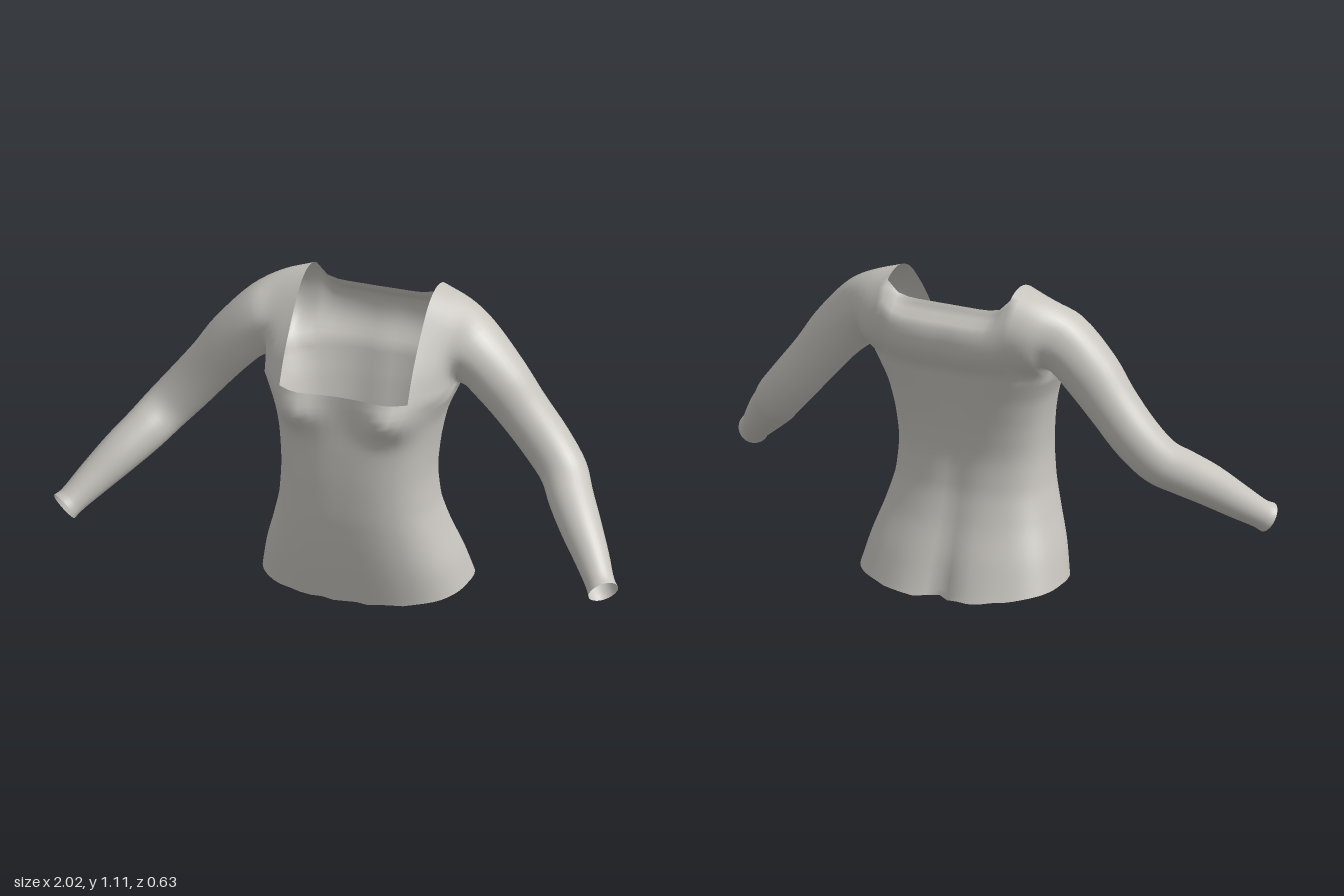
import * as THREE from 'three';
import { mergeGeometries, mergeVertices } from 'three/addons/utils/BufferGeometryUtils.js';

const V = (x, y, z) => new THREE.Vector3(x, y, z);
const INNER = 12, SUB = 4, OUTER = SUB * 2, LOOP = 32;
const NECK_X = 0.23, TOP_Y = 0.8, TOP_W = 0.34, HEM_Y = 0.03;

// Torso outline from hem to armpit: half width, front z, back z at even heights
const outline = new THREE.CatmullRomCurve3([
  V(0.36, 0.16, -0.315), V(0.335, 0.18, -0.27), V(0.3, 0.195, -0.22), V(0.272, 0.203, -0.185),
  V(0.264, 0.203, -0.174), V(0.272, 0.198, -0.186), V(0.293, 0.19, -0.208), V(TOP_W, 0.19, -0.235),
]);
const bell = (d, s) => Math.exp(-((d / s) ** 2));

// Point on the torso: u = -1..1 across, v = 0..1 upward
function torsoPoint(u, v, isFront) {
  const { x: w, y: zf, z: zb } = outline.getPoint(v);
  const y = HEM_Y + v * (TOP_Y - HEM_Y), x = u * w, a = Math.abs(u);
  const mid = (zf + zb) / 2 - 0.03, p = isFront ? 2.8 : 2.4;
  const round = Math.max(0, 1 - a ** p) ** (1 / p);
  let z = mid + ((isFront ? zf : zb) - mid) * round;
  if (isFront) z += 0.065 * bell(Math.abs(x) - 0.17, 0.08) * bell(y - 0.73, 0.07) * Math.min(1, round * 1.5);
  else z += 0.028 * bell(x, 0.035) * (1 - v) ** 5 + 0.008 * bell(x, 0.05) - 0.014 * bell(a - 0.38, 0.22) * (1 - v) ** 5;
  // Uneven hem, lower in the middle of the front and back
  const hem = 0.006 - (isFront ? 0.018 : 0.03) * (1 - u * u) + 0.004 * Math.sin(x * 55) * (1 - a);
  return V(x, y + hem * (1 - v) ** 4, z);
}

// Surface through rows of points
function grid(rows) {
  const n = rows[0].length, index = [];
  for (let j = 0; j < rows.length - 1; j++) {
    for (let i = 0; i < n - 1; i++) {
      const a = j * n + i, b = a + 1, c = b + n, d = a + n;
      index.push(a, b, c, a, c, d);
    }
  }
  const g = new THREE.BufferGeometry().setFromPoints(rows.flat());
  g.setIndex(index);
  return g;
}
const mirror = rows => rows.map(r => r.map(p => V(-p.x, p.y, p.z)).reverse());

// Sections from neck edge to cuff, each running front, over the top, to the back
function sleeveRows() {
  const arch = (u, pts) => new THREE.CatmullRomCurve3([
    torsoPoint(u, 1, true), ...pts.map(p => V(...p)), torsoPoint(u, 1, false)]);
  const arches = [
    arch(NECK_X / TOP_W, [[0.23, 0.895, 0.12], [0.23, 1.01, 0.03], [0.23, 1.085, -0.05], [0.23, 1.11, -0.13],
      [0.23, 1.085, -0.21], [0.23, 1.0, -0.262], [0.23, 0.9, -0.257]]),
    arch(0.919, [[0.308, 0.88, 0.07], [0.313, 0.97, 0.025], [0.33, 1.04, -0.045], [0.335, 1.073, -0.125],
      [0.33, 1.045, -0.2], [0.313, 0.97, -0.245], [0.308, 0.88, -0.232]]),
    arch(1, [[0.345, 0.85, 0.0], [0.375, 0.93, 0.025], [0.41, 0.995, -0.02], [0.43, 1.015, -0.1],
      [0.415, 1.0, -0.17], [0.375, 0.93, -0.21], [0.345, 0.85, -0.17]]),
  ];
  // Sleeve tube: centre x, y, z, radius
  const tube = [
    [0.475, 0.82, -0.083, 0.1], [0.555, 0.72, -0.083, 0.09], [0.645, 0.61, -0.076, 0.086],
    [0.715, 0.53, -0.045, 0.082], [0.765, 0.475, 0.025, 0.078], [0.825, 0.415, 0.1, 0.072],
    [0.9, 0.335, 0.185, 0.059], [0.95, 0.28, 0.247, 0.05], [0.967, 0.264, 0.267, 0.053],
  ];
  const centres = tube.map(t => V(t[0], t[1], t[2]));
  const loops = tube.map(([, , , r], i) => {
    const dir = centres[Math.min(i + 1, tube.length - 1)].clone().sub(centres[Math.max(i - 1, 0)]).normalize();
    const down = V(-0.75, -0.66, 0).projectOnPlane(dir).normalize();
    const front = down.clone().cross(dir);
    return t => centres[i].clone()
      .addScaledVector(down, r * Math.cos(t * 2 * Math.PI))
      .addScaledVector(front, r * Math.sin(t * 2 * Math.PI));
  });
  const sections = [...arches.map(c => t => c.getPoint(t)), ...loops];
  const steps = (sections.length - 1) * SUB, rows = [];
  for (let j = 0; j <= LOOP; j++) {
    rows.push(new THREE.CatmullRomCurve3(sections.map(s => s(j / LOOP))).getPoints(steps));
  }
  // Close the tube under the arm
  for (let k = OUTER; k <= steps; k++) {
    rows[0][k].lerp(rows[LOOP][k], 0.5);
    rows[LOOP][k].copy(rows[0][k]);
  }
  return rows;
}

// Closed rings from hem to armpit, the last one sharing the sleeve edges
function torsoRows(sleeve) {
  const cols = [], edge = NECK_X / TOP_W, rows = [], N = 36;
  for (let i = -INNER / 2; i <= INNER / 2; i++) cols.push({ u: edge * i / (INNER / 2), k: 0 });
  for (let k = 1; k <= OUTER; k++) {
    const u = edge + (1 - edge) * (1 - (1 - k / OUTER) ** 2);
    cols.push({ u, k });
    cols.unshift({ u: -u, k });
  }
  for (let j = 0; j <= N; j++) {
    const side = isFront => cols.map(({ u, k }) => {
      if (j < N || k === 0) return torsoPoint(u, j / N, isFront);
      const p = sleeve[isFront ? 0 : LOOP][k];
      return V(Math.sign(u) * p.x, p.y, p.z);
    });
    rows.push([...side(true), ...side(false).reverse()]);
  }
  return rows;
}

// Upper back between the shoulders, with a scooped top edge
function backRows(sleeve) {
  const rows = [], first = LOOP * 5 / 8, peak = sleeve[first][0].y, base = sleeve[LOOP][0];
  for (let j = LOOP; j >= first; j--) {
    const e = sleeve[j][0], row = [];
    for (let i = INNER / 2; i >= -INNER / 2; i--) {
      const f = i / (INNER / 2), low = torsoPoint(f * NECK_X / TOP_W, 1, false);
      const top = 1.035 + (peak - 1.035) * Math.abs(f) ** 8;
      const y = TOP_Y + (e.y - TOP_Y) * (top - TOP_Y) / (peak - TOP_Y);
      const keep = 1 - 0.9 * (LOOP - j) / (LOOP - first);
      const ease = (e.z - base.z) * (e.z > -0.25 && j < LOOP - 6 ? 0.5 + 0.5 * Math.abs(f) ** 4 : 1);
      row.push(V(f * NECK_X, y, base.z + ease + (low.z - base.z) * keep));
    }
    rows.push(row);
  }
  return rows;
}

export function createModel() {
  const group = new THREE.Group();
  group.name = 'longSleeveTop';
  const fabric = new THREE.MeshStandardMaterial({ color: 0xc8c5bf, side: THREE.DoubleSide });
  fabric.name = 'pale grey fabric';

  // One continuous cloth shell: torso, upper back and both sleeves
  const sleeve = sleeveRows();
  const parts = [torsoRows(sleeve), backRows(sleeve), sleeve, mirror(sleeve)].map(grid);
  const shell = mergeVertices(mergeGeometries(parts), 1e-4);
  shell.computeVertexNormals();
  const mesh = new THREE.Mesh(shell, fabric);
  mesh.name = 'garmentShell';
  group.add(mesh);
  return group;
}
